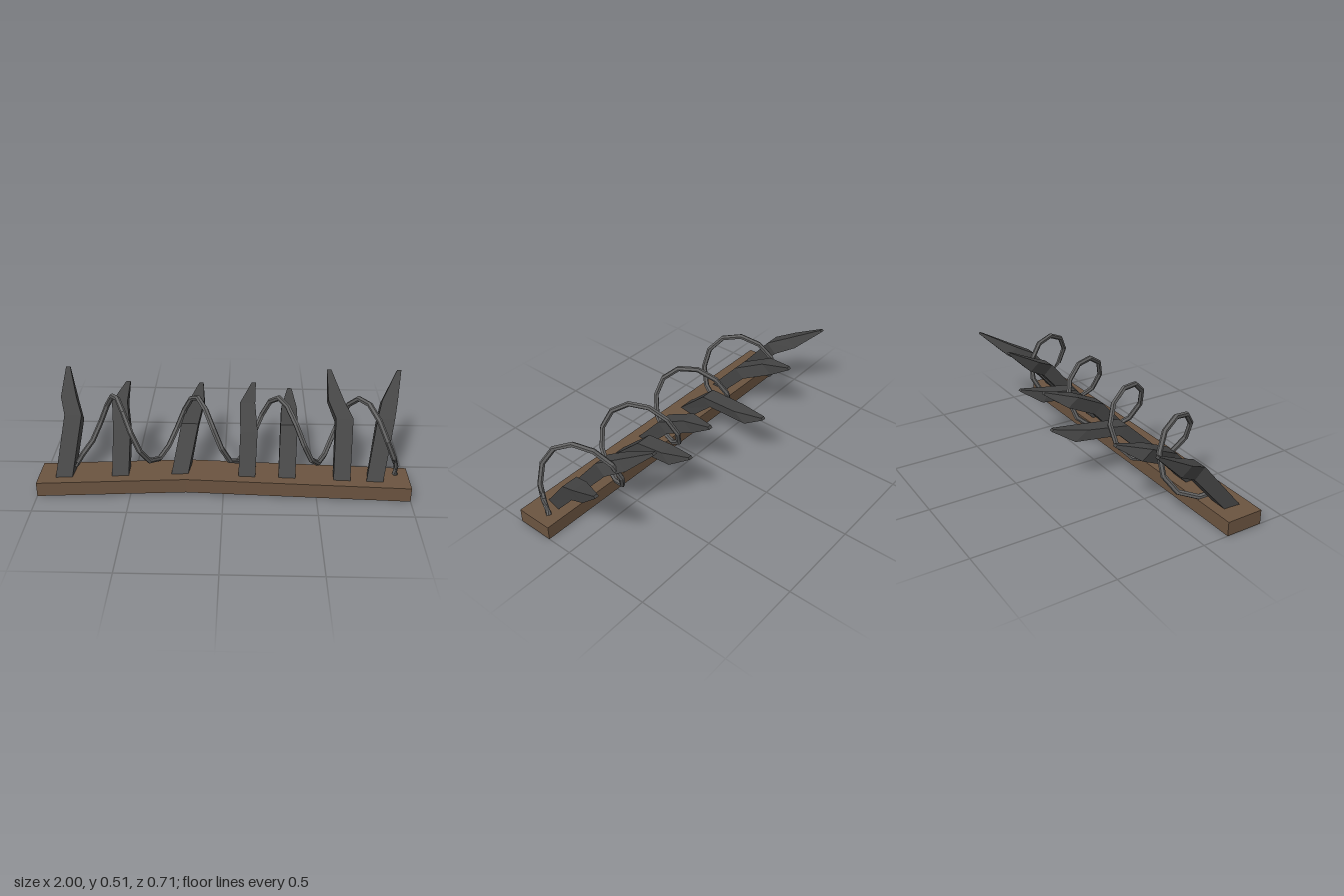
import * as THREE from 'three';
import { toCreasedNormals } from 'three/addons/utils/BufferGeometryUtils.js';

const mat = (color) => new THREE.MeshStandardMaterial({ color, flatShading: true, side: THREE.DoubleSide });

// Skin a row of four-cornered sections and close both ends
function loft(sections) {
  const pos = [];
  const quad = (a, b, c, d) => [a, b, c, a, c, d].forEach((p) => pos.push(...p));
  for (let s = 0; s < sections.length - 1; s++) {
    const a = sections[s], b = sections[s + 1];
    for (let i = 0; i < 4; i++) {
      const j = (i + 1) % 4;
      quad(a[i], a[j], b[j], b[i]);
    }
  }
  quad(...[...sections[0]].reverse());
  quad(...sections[sections.length - 1]);
  const g = new THREE.BufferGeometry();
  g.setAttribute('position', new THREE.Float32BufferAttribute(pos, 3));
  return toCreasedNormals(g, 0.1);
}

// Side profiles of the spikes, as [upper z, upper y, lower z, lower y] from root to tip
const root = [0.3, 0.08, 0.263, 0.014];
const profiles = {
  tall: [root, [0.08, 0.35, 0.02, 0.295], [-0.03, 0.405, -0.09, 0.36], [-0.218, 0.506, -0.228, 0.497]],
  middle: [root, [0.122, 0.285, 0.06, 0.235], [-0.05, 0.37, -0.115, 0.322], [-0.222, 0.416, -0.234, 0.405]],
  low: [root, [0.07, 0.3, 0.015, 0.255], [-0.1, 0.325, -0.15, 0.271], [-0.262, 0.363, -0.272, 0.354]],
  long: [root, [0.07, 0.3, 0.015, 0.255], [-0.17, 0.325, -0.243, 0.275], [-0.345, 0.354, -0.356, 0.344]],
};

// Profile and the centre x of each section
const spikes = [
  ['tall', [-0.86, -0.83, -0.87, -0.9]],
  ['middle', [-0.555, -0.56, -0.59, -0.56]],
  ['long', [-0.24, -0.19, -0.165, -0.147]],
  ['middle', [0.125, 0.135, 0.125, 0.16]],
  ['low', [0.34, 0.355, 0.36, 0.367]],
  ['tall', [0.635, 0.655, 0.615, 0.585]],
  ['tall', [0.81, 0.88, 0.91, 0.98]],
];
const halfWidths = [0.045, 0.047, 0.043, 0.012];

export function createModel() {
  const model = new THREE.Group();
  const add = (name, geometry, material) => {
    const mesh = new THREE.Mesh(geometry, material);
    mesh.name = name;
    model.add(mesh);
  };

  // Plank with a slight bend off centre
  const plank = [[-1, 0, 0.147], [-0.2, 0.024, 0.125], [1, 0, 0.147]].map(([x, y, z]) => [
    [x, y, z], [x, y + 0.08, z], [x, y + 0.08, z + 0.21], [x, y, z + 0.21],
  ]);
  add('plank', loft(plank), mat(0x6b5440));

  // Bent spikes leaning back
  const spikeMat = mat(0x454545);
  spikes.forEach(([type, xs], n) => {
    const sections = profiles[type].map(([zu, yu, zl, yl], i) => {
      const l = xs[i] - halfWidths[i], r = xs[i] + halfWidths[i];
      return [[l, yl, zl], [l, yu, zu], [r, yu, zu], [r, yl, zl]];
    });
    add(`spike${n + 1}`, loft(sections), spikeMat);
  });

  // Coiled wire, ten straight steps per turn, anchored in the plank at one end
  const points = [new THREE.Vector3(-0.8, 0.13, 0.24)];
  for (let i = 0; i <= 39; i++) {
    const a = -Math.PI + (i * Math.PI) / 5;
    const x = -0.57 + (0.443 * a) / (2 * Math.PI);
    points.push(new THREE.Vector3(x, 0.3 + 0.178 * Math.cos(a), 0.133 + 0.175 * Math.sin(a)));
  }
  points.push(new THREE.Vector3(0.91, 0.16, 0.262), new THREE.Vector3(0.93, 0.08, 0.213));
  const coil = new THREE.CatmullRomCurve3(points);
  add('coiledWire', new THREE.TubeGeometry(coil, points.length - 1, 0.015, 6), mat(0x626262));

  return model;
}
